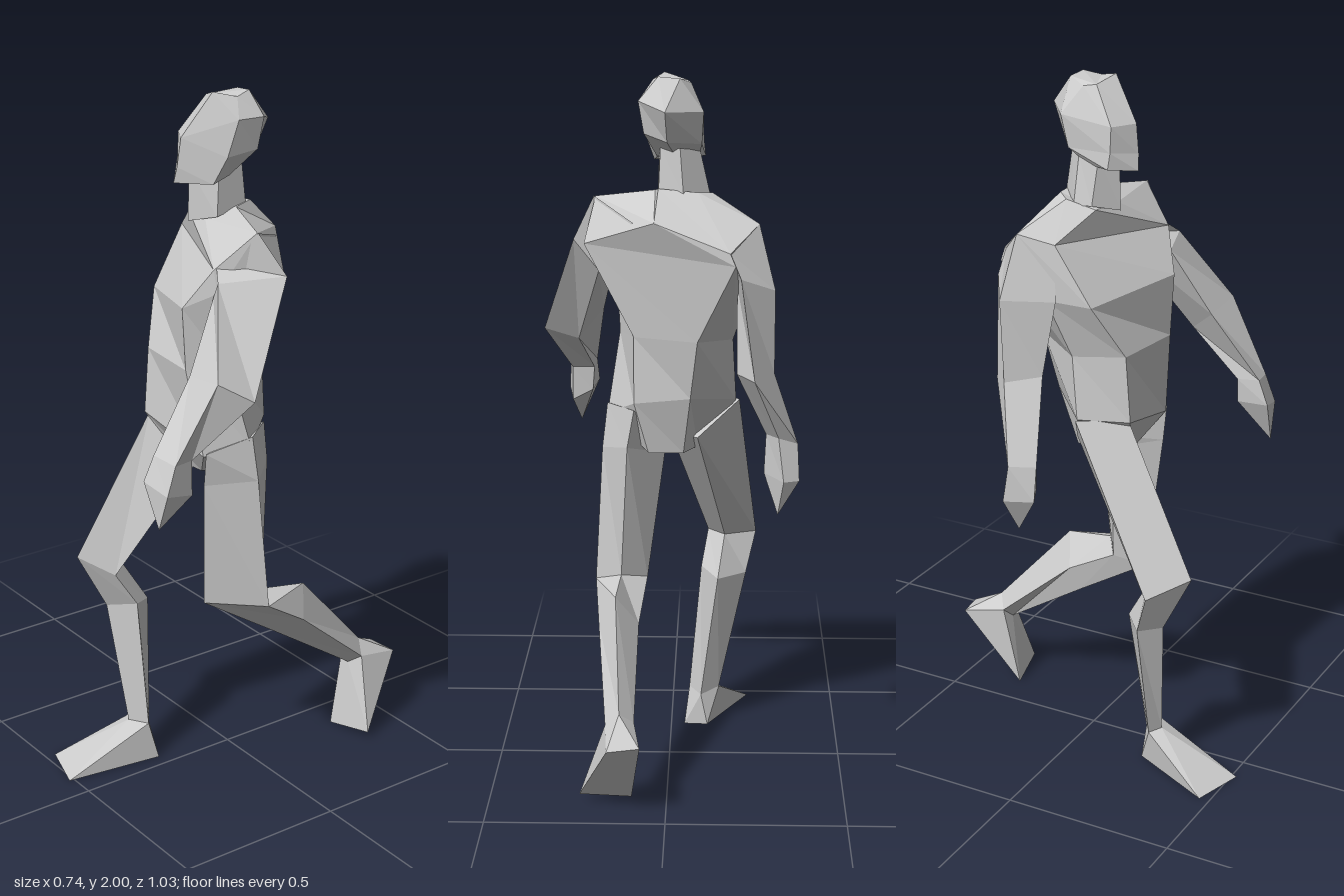
import * as THREE from 'three';

// Faceted skin over cross-sections. Each ring runs counter-clockwise as seen
// from the first ring's end; a ring of one point closes to a tip.
function loft(rings) {
  const pos = [];
  const n = rings[0].length;
  const at = (r, i) => r[i % r.length];
  const tri = (a, b, c) => { if (a !== b && b !== c && a !== c) pos.push(...a, ...b, ...c); };
  for (let k = 0; k < rings.length - 1; k++) {
    const a = rings[k], b = rings[k + 1];
    for (let i = 0; i < n; i++) {
      tri(at(a, i), at(b, i), at(b, i + 1));
      tri(at(a, i), at(b, i + 1), at(a, i + 1));
    }
  }
  const first = rings[0], last = rings[rings.length - 1];
  for (let i = 1; i < n - 1; i++) {
    tri(first[0], first[i], first[i + 1]);
    if (last.length > 1) tri(last[0], last[i + 1], last[i]);
  }
  const geo = new THREE.BufferGeometry();
  geo.setAttribute('position', new THREE.Float32BufferAttribute(pos, 3));
  geo.computeVertexNormals();
  return geo;
}

export function createModel() {
  const model = new THREE.Group();
  model.name = 'walkingFigure';
  const grey = new THREE.MeshStandardMaterial({ color: 0xcccccc });
  grey.name = 'pale grey';
  const add = (name, rings) => {
    const mesh = new THREE.Mesh(loft(rings), grey);
    mesh.name = name;
    model.add(mesh);
  };

  // Head, turned slightly to its right: crown, brow, cheek, jaw
  add('head', [
    [[-0.05, 1.98, 0.035], [0.015, 2.0, 0.06], [0.045, 1.985, 0], [0.03, 1.995, -0.05], [-0.03, 1.99, -0.055], [-0.06, 1.975, 0]],
    [[-0.09, 1.88, 0.1], [-0.02, 1.88, 0.14], [0.08, 1.93, 0.02], [0.085, 1.93, -0.06], [0.01, 1.905, -0.13], [-0.095, 1.9, -0.05]],
    [[-0.095, 1.81, 0.1], [-0.025, 1.8, 0.15], [0.07, 1.83, 0.05], [0.07, 1.84, -0.05], [0.005, 1.82, -0.09], [-0.09, 1.81, -0.03]],
    [[-0.1, 1.765, 0.095], [-0.035, 1.755, 0.155], [0.045, 1.755, 0.08], [0.035, 1.77, 0.02], [-0.01, 1.79, -0.045], [-0.08, 1.77, 0.02]],
  ]);
  add('neck', [
    [[-0.085, 1.79, 0.06], [-0.04, 1.79, 0.1], [0.03, 1.79, 0.05], [0.025, 1.8, -0.03], [-0.03, 1.8, -0.05], [-0.085, 1.79, 0]],
    [[-0.105, 1.66, 0.05], [-0.04, 1.64, 0.105], [0.035, 1.66, 0.06], [0.03, 1.68, -0.04], [-0.04, 1.67, -0.065], [-0.115, 1.66, 0]],
  ]);

  // Torso: front right, front left, left, back left, back right, right
  add('torso', [
    [[-0.1, 1.65, 0.06], [0, 1.65, 0.075], [0.04, 1.68, 0], [0.03, 1.69, -0.055], [-0.08, 1.68, -0.06], [-0.12, 1.675, -0.02]],
    [[-0.22, 1.575, 0], [0.15, 1.555, 0.155], [0.21, 1.655, 0.055], [0.04, 1.605, -0.135], [-0.17, 1.53, -0.185], [-0.25, 1.6, -0.1]],
    [[-0.21, 1.41, 0.105], [0.08, 1.44, 0.21], [0.16, 1.49, 0.15], [0.24, 1.53, -0.015], [-0.185, 1.495, -0.19], [-0.235, 1.42, -0.02]],
    [[-0.14, 1.26, 0.175], [0.08, 1.26, 0.2], [0.145, 1.26, 0.1], [0.1, 1.27, -0.045], [-0.08, 1.27, -0.12], [-0.18, 1.25, 0.03]],
    [[-0.14, 1.07, 0.19], [0.12, 1.01, 0.17], [0.18, 1.03, 0.05], [0.1, 1.08, -0.055], [-0.06, 1.1, -0.08], [-0.19, 1.07, 0.05]],
    [[-0.06, 0.93, 0.13], [0.04, 0.93, 0.12], [0.08, 0.93, 0.05], [0.06, 0.93, -0.03], [-0.04, 0.93, -0.03], [-0.08, 0.93, 0.05]],
  ]);

  // Left arm, swung forward: front, outer, back, inner
  const leftElbow = [[0.335, 1.31, 0.275], [0.37, 1.25, 0.18], [0.27, 1.22, 0.18], [0.2, 1.295, 0.27]];
  const leftWrist = [[0.31, 1.1, 0.395], [0.3, 1.1, 0.335], [0.235, 1.1, 0.34], [0.23, 1.11, 0.41]];
  add('leftUpperArm', [
    [[0.14, 1.57, 0.14], [0.215, 1.655, 0.055], [0.1, 1.6, -0.09], [0.1, 1.53, 0.05]],
    [[0.19, 1.53, 0.17], [0.27, 1.54, 0], [0.2, 1.45, 0.01], [0.155, 1.48, 0.16]],
    leftElbow,
  ]);
  add('leftForearm', [leftElbow, leftWrist]);
  add('leftHand', [
    leftWrist,
    [[0.315, 1.02, 0.425], [0.3, 1.0, 0.335], [0.24, 1.03, 0.34], [0.225, 1.04, 0.44]],
    [[0.28, 0.915, 0.43]],
  ]);

  // Right arm, swung back: front, inner, back, outer
  const rightElbow = [[-0.24, 1.2, -0.03], [-0.19, 1.18, -0.11], [-0.24, 1.17, -0.175], [-0.295, 1.185, -0.12]];
  const rightWrist = [[-0.33, 0.97, 0], [-0.275, 0.99, -0.04], [-0.31, 0.99, -0.09], [-0.365, 0.97, -0.07]];
  add('rightUpperArm', [
    [[-0.22, 1.56, 0], [-0.15, 1.55, -0.08], [-0.17, 1.53, -0.18], [-0.25, 1.6, -0.1]],
    [[-0.235, 1.42, 0.01], [-0.19, 1.42, -0.08], [-0.2, 1.46, -0.19], [-0.295, 1.42, -0.13]],
    rightElbow,
  ]);
  add('rightForearm', [rightElbow, rightWrist]);
  add('rightHand', [
    rightWrist,
    [[-0.345, 0.87, 0], [-0.27, 0.875, -0.035], [-0.325, 0.865, -0.105], [-0.37, 0.865, -0.085]],
    [[-0.31, 0.76, -0.07]],
  ]);

  // Right leg, striding forward: front, inner, back, outer
  const rightKnee = [[-0.18, 0.655, 0.405], [-0.11, 0.6, 0.32], [-0.16, 0.6, 0.26], [-0.255, 0.6, 0.3]];
  const rightAnkle = [[-0.11, 0.115, 0.285], [-0.055, 0.115, 0.25], [-0.09, 0.095, 0.225], [-0.145, 0.11, 0.26]];
  add('rightThigh', [
    [[-0.13, 1.07, 0.18], [0, 0.96, 0.09], [-0.08, 0.97, -0.01], [-0.2, 1.07, 0.05]],
    rightKnee,
  ]);
  add('rightShin', [
    rightKnee,
    [[-0.17, 0.48, 0.315], [-0.09, 0.5, 0.26], [-0.14, 0.48, 0.19], [-0.225, 0.48, 0.26]],
    rightAnkle,
  ]);
  add('rightFoot', [
    rightAnkle,
    [[-0.235, 0, 0.47], [-0.08, 0, 0.515], [-0.04, 0, 0.225], [-0.11, 0, 0.22]],
  ]);

  // Left leg, pushing off behind: front, outer, back, inner
  const leftKnee = [[0.07, 0.53, 0.135], [0.215, 0.54, 0.01], [0.14, 0.56, -0.02], [0.065, 0.54, 0.03]];
  const leftAnkle = [[0.13, 0.21, -0.36], [0.17, 0.24, -0.38], [0.13, 0.28, -0.4], [0.09, 0.245, -0.37]];
  add('leftThigh', [
    [[0.13, 1.02, 0.168], [0.18, 1.06, 0.045], [0.1, 1.06, -0.055], [0.01, 0.95, 0.05]],
    [[0.115, 0.92, 0.165], [0.195, 0.93, 0.035], [0.12, 0.95, -0.052], [0.015, 0.91, 0.05]],
    leftKnee,
  ]);
  add('leftShin', [
    leftKnee,
    [[0.1, 0.38, -0.1], [0.2, 0.45, -0.13], [0.15, 0.54, -0.165], [0.085, 0.45, -0.13]],
    leftAnkle,
  ]);
  add('leftFoot', [
    leftAnkle,
    [[0.1, 0, -0.32], [0.245, 0.02, -0.35], [0.16, 0.215, -0.515], [0.07, 0.22, -0.5]],
  ]);

  return model;
}
